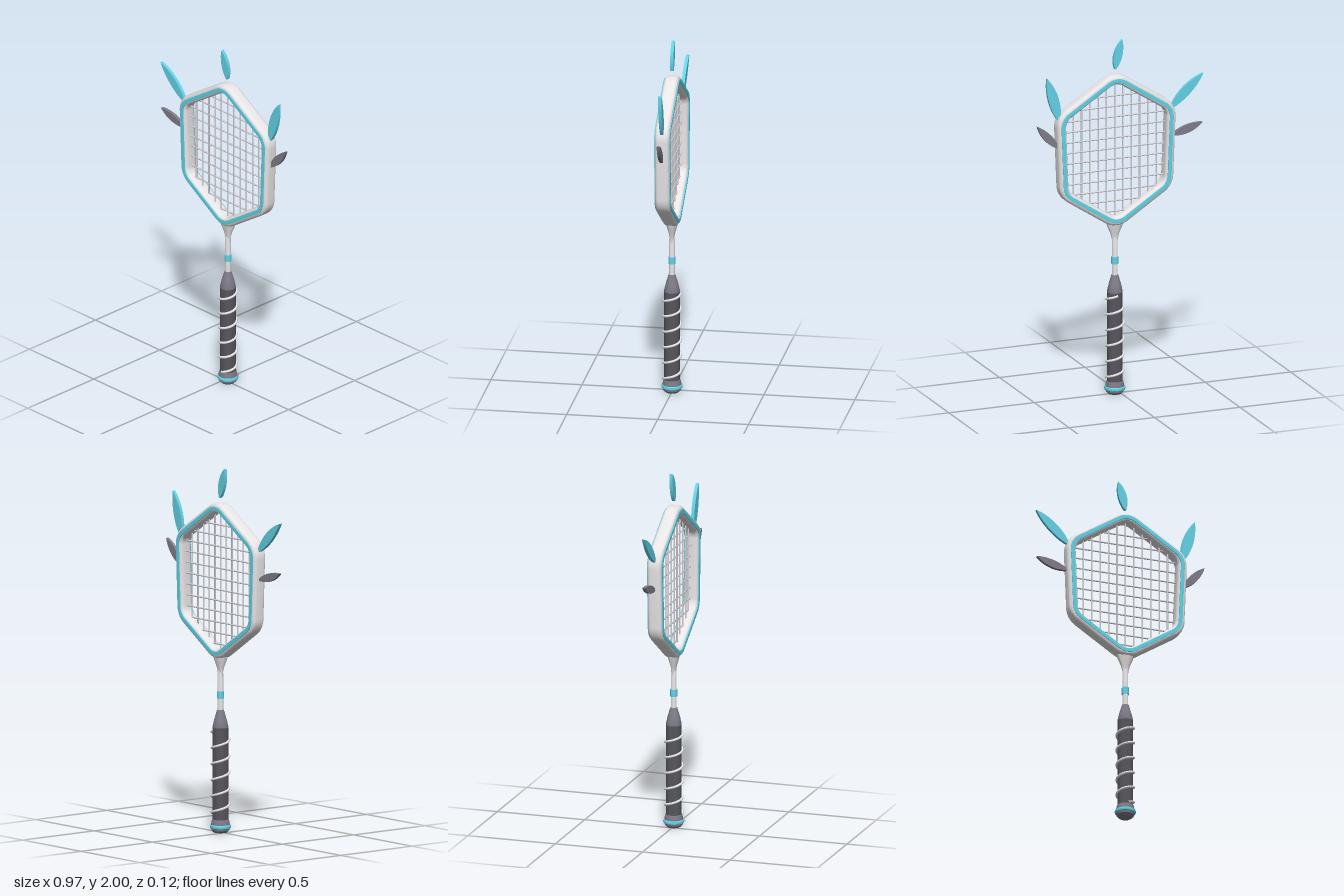
import * as THREE from 'three';
import { toCreasedNormals } from 'three/addons/utils/BufferGeometryUtils.js';

const CX = 0.029; // the racket axis sits slightly to its left

const paint = (name, color) => {
  const m = new THREE.MeshStandardMaterial({ color });
  m.name = name;
  return m;
};

// Rounded hexagon: each entry holds a corner centre and an outward direction
function hexPath(corners, r, steps) {
  const n = corners.length, out = [];
  const normal = (a, b) => new THREE.Vector2(b.y - a.y, a.x - b.x).normalize();
  corners.forEach((v, i) => {
    const n0 = normal(corners[(i + n - 1) % n], v);
    const n1 = normal(v, corners[(i + 1) % n]);
    const c = v.clone().addScaledVector(n0.clone().add(n1), -r / (1 + n0.dot(n1)));
    const turn = Math.acos(n0.dot(n1)), start = n0.angle();
    for (let k = 0; k <= steps; k++) {
      const a = start + turn * k / steps;
      out.push({ c, dir: new THREE.Vector2(Math.cos(a), Math.sin(a)) });
    }
  });
  return out;
}

// Closed sweep of a section of [outward offset, z] points
function sweep(path, r, section) {
  const pos = [], idx = [], n = path.length, m = section.length;
  for (const { c, dir } of path)
    for (const [d, z] of section) pos.push(c.x + dir.x * (r + d), c.y + dir.y * (r + d), z);
  for (let j = 0; j < n; j++)
    for (let k = 0; k < m; k++) {
      const a = j * m + k, b = ((j + 1) % n) * m + k;
      const c = ((j + 1) % n) * m + (k + 1) % m, d = j * m + (k + 1) % m;
      idx.push(a, b, c, a, c, d);
    }
  const g = new THREE.BufferGeometry();
  g.setAttribute('position', new THREE.Float32BufferAttribute(pos, 3));
  g.setIndex(idx);
  return toCreasedNormals(g, 0.6);
}

// Turned part from [radius, y] points listed upwards
const lathe = pts => toCreasedNormals(
  new THREE.LatheGeometry(pts.map(p => new THREE.Vector2(...p)), 32), 0.5);

// Flat pointed leaf from base to tip
function leaf(x0, y0, x1, y1, width, bend) {
  const L = Math.hypot(x1 - x0, y1 - y0), w = width / 2;
  const s = new THREE.Shape();
  s.moveTo(-0.004, 0);
  s.bezierCurveTo(-w * 1.3 + bend, L * 0.3, -w * 1.2 + bend, L * 0.7, 0, L);
  s.bezierCurveTo(w * 1.2 + bend, L * 0.7, w * 1.3 + bend, L * 0.3, 0.004, 0);
  const g = new THREE.ExtrudeGeometry(s, { depth: 0.018, bevelEnabled: false, curveSegments: 10 });
  g.translate(0, 0, -0.009);
  g.rotateZ(Math.atan2(y1 - y0, x1 - x0) - Math.PI / 2);
  g.translate(x0, y0, 0);
  return toCreasedNormals(g, 0.6);
}

export function createModel() {
  const root = new THREE.Group();
  root.name = 'racket';
  const silver = paint('silver', 0xebe8ea);
  const teal = paint('teal', 0x64d6ea);
  const slate = paint('slate', 0x7f7c89);
  const charcoal = paint('charcoal', 0x57565d);
  const stringGrey = paint('string grey', 0xd4d2d6);

  const add = (name, geo, mat, parent = root, x = 0) => {
    const mesh = new THREE.Mesh(geo, mat);
    mesh.name = name;
    mesh.position.x = x;
    parent.add(mesh);
    return mesh;
  };

  // Head frame
  const hex = [[0, 1.8], [-0.322, 1.592], [-0.305, 1.164], [0, 0.966], [0.305, 1.164], [0.322, 1.592]]
    .map(([x, y]) => new THREE.Vector2(x + CX, y));
  const R = 0.09, path = hexPath(hex, R, 10);
  const section = [];
  [[1, 1], [-1, 1], [-1, -1], [1, -1]].forEach(([sx, sz], q) => {
    for (let k = 0; k <= 5; k++) {
      const a = (q + k / 5) * Math.PI / 2;
      section.push([sx * 0.005 + 0.021 * Math.cos(a), sz * 0.019 + 0.021 * Math.sin(a)]);
    }
  });
  add('frame', sweep(path, R, section), silver);

  // Trim bands on both faces of the frame
  const band = [[0.008, 0.037], [0.008, 0.0435], [-0.002, 0.0445], [-0.013, 0.0435], [-0.013, 0.035]];
  add('frontTrim', sweep(path, R, band), teal);
  add('backTrim', sweep(path, R, band.map(([d, z]) => [d, -z]).reverse()), teal);

  // Strings, cut off at the frame's inner edge
  const strings = new THREE.Group();
  strings.name = 'strings';
  root.add(strings);
  const span = (axis, value) => {
    const other = axis === 'x' ? 'y' : 'x', hits = [];
    hex.forEach((a, i) => {
      const b = hex[(i + 1) % hex.length];
      if ((a[axis] < value) !== (b[axis] < value))
        hits.push(a[other] + (b[other] - a[other]) * (value - a[axis]) / (b[axis] - a[axis]));
    });
    return [Math.min(...hits), Math.max(...hits)];
  };
  const string = (axis, value) => {
    const [lo, hi] = span(axis, value);
    const g = new THREE.CylinderGeometry(0.0045, 0.0045, hi - lo - 0.05, 8);
    const mesh = add(axis === 'x' ? 'mainString' : 'crossString', g, stringGrey, strings);
    const mid = (lo + hi) / 2;
    if (axis === 'x') mesh.position.set(value, mid, 0.002);
    else {
      mesh.rotation.z = Math.PI / 2;
      mesh.position.set(mid, value, -0.002);
    }
  };
  for (let i = -5; i <= 5; i++) string('x', CX + i * 0.0485);
  for (let i = -6; i <= 5; i++) string('y', 1.39 + i * 0.0595);

  // Throat, flattened front to back
  const throat = add('throat', lathe([[0.015, 0.84], [0.017, 0.875], [0.026, 0.91], [0.044, 0.95], [0.05, 0.975], [0, 0.975]]),
    silver, root, CX);
  throat.scale.z = 0.65;

  // Shaft and its band
  add('shaft', lathe([[0.0155, 0.65], [0.0155, 0.87], [0.011, 0.9]]), silver, root, CX);
  add('shaftBand', lathe([[0.015, 0.735], [0.0195, 0.735], [0.0195, 0.775], [0.015, 0.775]]), teal, root, CX);

  // Handle
  add('gripCollar', lathe([[0.041, 0.57], [0.043, 0.58], [0.034, 0.62], [0.019, 0.672], [0, 0.674]]), slate, root, CX);
  add('grip', lathe([[0.043, 0.06], [0.043, 0.575], [0.038, 0.577]]), charcoal, root, CX);
  add('buttCap', lathe([[0, 0], [0.036, 0], [0.048, 0.012], [0.052, 0.026], [0.052, 0.042], [0.046, 0.07], [0.042, 0.072]]),
    slate, root, CX);
  add('buttRing', lathe([[0.05, 0.022], [0.056, 0.025], [0.058, 0.033], [0.056, 0.041], [0.05, 0.044]]), teal, root, CX);

  // Spiral cord round the grip
  const turns = 5.5, cord = [];
  for (let i = 0; i <= 110; i++) {
    const a = i / 110 * turns * Math.PI * 2;
    cord.push(new THREE.Vector3(Math.sin(a) * 0.047, 0.075 + 0.487 * i / 110, Math.cos(a) * 0.047));
  }
  add('gripCord', new THREE.TubeGeometry(new THREE.CatmullRomCurve3(cord), 220, 0.0068, 8), silver, root, CX);

  // Leaves round the head
  add('topLeaf', leaf(0.028, 1.838, -0.013, 2.0, 0.05, 0.004), teal);
  add('rightUpperLeaf', leaf(-0.298, 1.58, -0.486, 1.757, 0.056, 0.004), teal);
  add('leftUpperLeaf', leaf(0.356, 1.58, 0.427, 1.828, 0.062, -0.003), teal);
  add('rightLowerLeaf', leaf(-0.308, 1.428, -0.482, 1.481, 0.046, -0.004), slate);
  add('leftLowerLeaf', leaf(0.36, 1.428, 0.483, 1.561, 0.046, 0.003), slate);

  return root;
}
